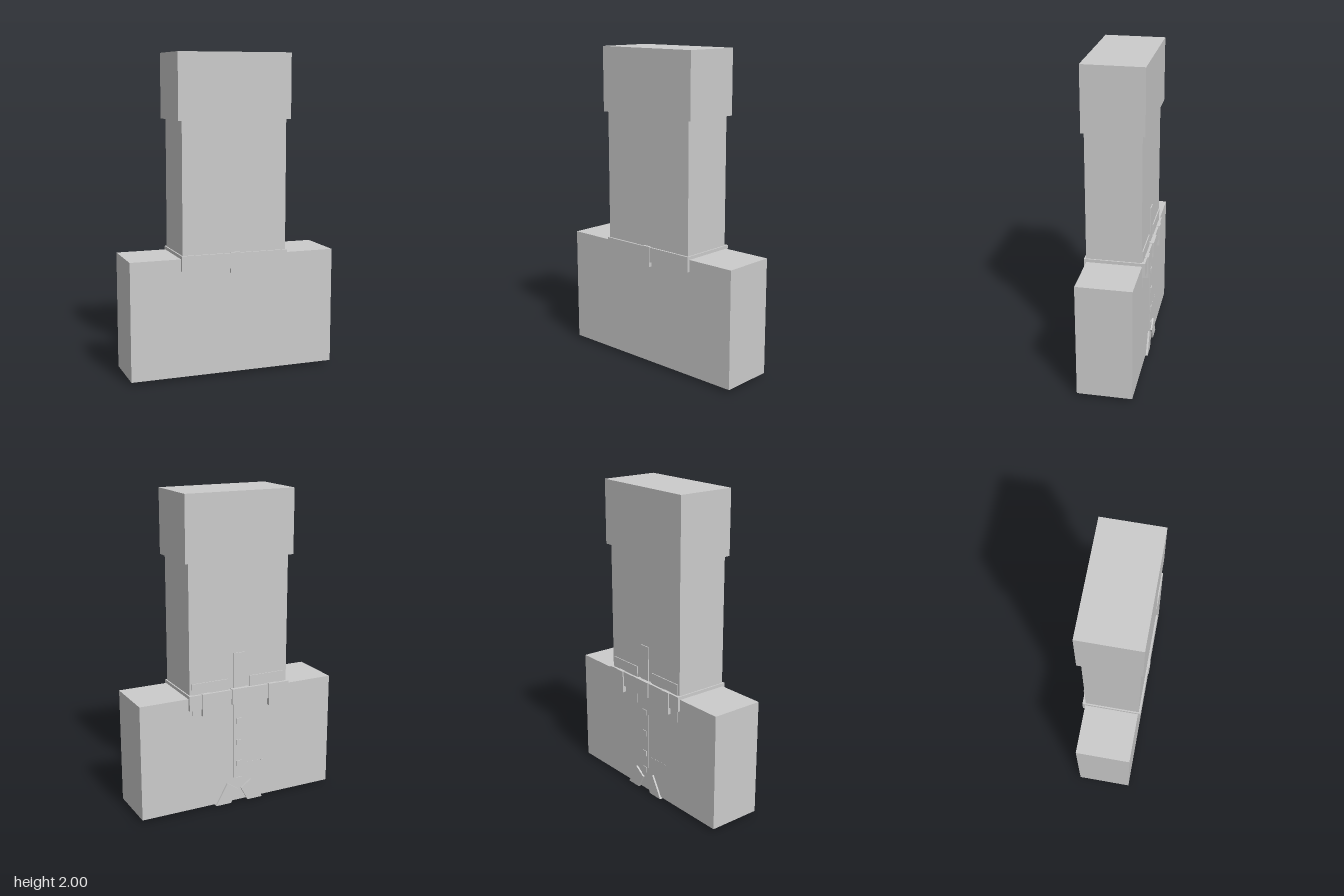
import * as THREE from 'three';

const grey = new THREE.MeshStandardMaterial({ color: 0xcccccc });

export function createModel() {
  const model = new THREE.Group();

  // Box given by its lower and upper limits on each axis
  const box = (name, [x0, x1], [y0, y1], [z0, z1]) => {
    const mesh = new THREE.Mesh(new THREE.BoxGeometry(x1 - x0, y1 - y0, z1 - z0), grey);
    mesh.position.set((x0 + x1) / 2, (y0 + y1) / 2, (z0 + z1) / 2);
    mesh.name = name;
    model.add(mesh);
    return mesh;
  };

  // Main masses
  box('base', [-0.665, 0.665], [0.02, 0.76], [-0.17, 0.175]);
  box('column', [-0.337, 0.337], [0.7, 1.6], [-0.167, 0.178]);
  box('cap', [-0.363, 0.363], [1.595, 2], [-0.187, 0.192]);

  // Belt with front buckle and thicker rear plate
  box('belt', [-0.346, 0.346], [0.685, 0.78], [-0.188, 0.19]);
  box('buckle', [-0.03, 0.03], [0.655, 0.785], [0.17, 0.195]);
  box('rearPlate', [-0.06, 0.06], [0.685, 0.785], [-0.197, -0.16]);

  // Rear centre strip and its buttons
  box('centreStrip', [-0.037, 0.037], [0.11, 1.01], [-0.173, -0.16]);
  for (const y of [0.16, 0.275, 0.418, 0.563]) {
    box('button', [-0.018, 0.018], [y - 0.018, y + 0.018], [-0.178, -0.16]);
  }

  // Row of small stitches on the back
  for (let i = 0; i < 5; i++) {
    const x = -0.07 - i * 0.032;
    box('stitch', [x - 0.006, x + 0.006], [0.263, 0.268], [-0.172, -0.165]);
  }

  // Slanted ribbon tail, mirrored for the other side
  const tail = new THREE.Shape([
    new THREE.Vector2(0.012, 0.1),
    new THREE.Vector2(0.06, 0.01),
    new THREE.Vector2(0.165, 0.01),
    new THREE.Vector2(0.085, 0.15),
  ]);

  for (const s of [-1, 1]) {
    const span = (a, b) => (s > 0 ? [a, b] : [-b, -a]);
    box('foot', span(0.39, 0.637), [0, 0.03], [-0.075, 0.09]);
    box('pocket', span(0.075, 0.322), [0.605, 0.85], [-0.173, -0.16]);
    box('beltLoop', span(0.2, 0.26), [0.64, 0.783], [-0.196, -0.16]);

    const points = tail.getPoints().map((p) => new THREE.Vector2(p.x * s, p.y));
    const geometry = new THREE.ExtrudeGeometry(new THREE.Shape(points), { depth: 0.08, bevelEnabled: false });
    const mesh = new THREE.Mesh(geometry, grey);
    mesh.position.z = -0.182;
    mesh.name = 'ribbonTail';
    model.add(mesh);
  }

  return model;
}
